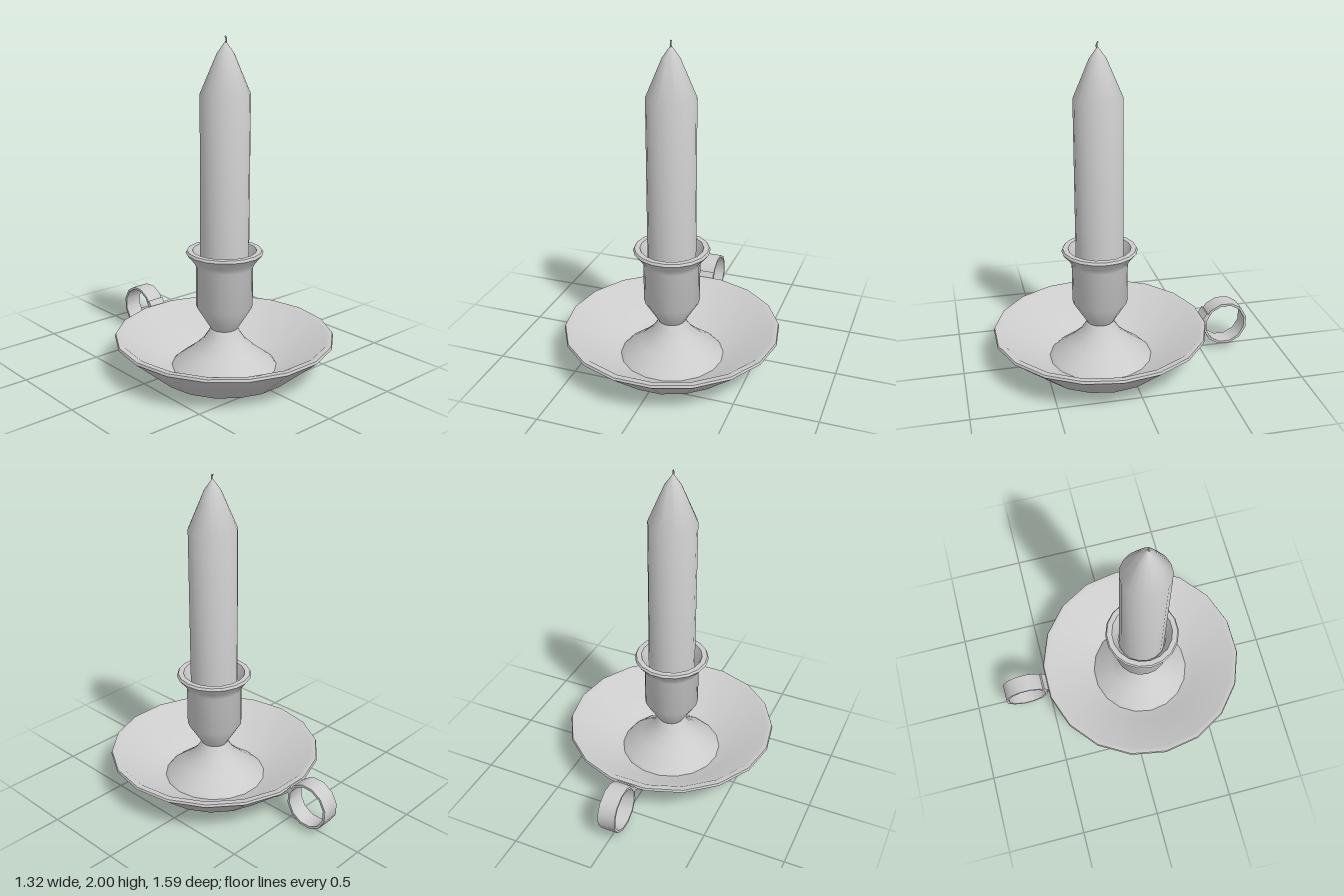
import * as THREE from 'three';
import { toCreasedNormals } from 'three/addons/utils/BufferGeometryUtils.js';

const SIDES = 18;
const AXIS_Z = 0.146; // the candle and dish sit forward of the handle

export function createModel() {
  const group = new THREE.Group();
  const material = new THREE.MeshStandardMaterial({ color: 0xcccccc });

  const add = (name, geometry) => {
    const mesh = new THREE.Mesh(geometry, material);
    mesh.name = name;
    group.add(mesh);
    return mesh;
  };

  // Turned part from [radius, height] pairs, with a corner on the x axis
  const turned = (name, profile, crease = 0.75) => {
    const points = profile.map(([r, y]) => new THREE.Vector2(r, y));
    const lathe = new THREE.LatheGeometry(points, SIDES, Math.PI / 2);
    add(name, toCreasedNormals(lathe, crease)).position.z = AXIS_Z;
  };

  // Wide dish with a narrow flat rim
  turned('dish', [
    [0, 0], [0.41, 0], [0.66, 0.215], [0.655, 0.23],
    [0.622, 0.23], [0.38, 0.03], [0, 0.03],
  ]);

  // Flared foot that carries the socket
  turned('pedestal', [
    [0.32, 0.028], [0.3, 0.05], [0.2, 0.125], [0.13, 0.19], [0.1, 0.235], [0.08, 0.27],
  ]);

  // Hollow cup with a flared lip
  turned('socket', [
    [0, 0.265], [0.08, 0.265], [0.17, 0.41], [0.17, 0.655], [0.187, 0.69],
    [0.23, 0.742], [0.222, 0.757], [0.19, 0.757], [0.162, 0.69], [0.15, 0.65],
    [0.15, 0.42], [0, 0.42],
  ]);

  // Candle with a pointed top
  turned('candle', [
    [0, 0.42], [0.145, 0.42], [0.145, 1.68], [0.05, 1.905], [0, 1.975],
  ]);

  // Small bent wick
  const wickPath = new THREE.CatmullRomCurve3([
    new THREE.Vector3(0, 1.955, 0.146),
    new THREE.Vector3(0, 1.975, 0.152),
    new THREE.Vector3(0, 1.988, 0.15),
    new THREE.Vector3(0, 2, 0.143),
  ]);
  add('wick', new THREE.TubeGeometry(wickPath, 6, 0.005, 6));

  // Handle: flat band bent into a ring; shape x runs backwards from the centre
  const band = { depth: 0.11, bevelEnabled: false };
  const place = (mesh) => {
    mesh.rotation.y = Math.PI / 2;
    mesh.position.x = -band.depth / 2;
  };
  const circle = (r) => Array.from({ length: 12 }, (_, i) => {
    const a = (i / 12) * Math.PI * 2 + 0.24;
    return new THREE.Vector2(0.655 + r * Math.cos(a), 0.172 + r * Math.sin(a));
  });
  const ring = new THREE.Shape(circle(0.143));
  ring.holes.push(new THREE.Path(circle(0.128)));
  place(add('handleRing', toCreasedNormals(new THREE.ExtrudeGeometry(ring, band), 0.75)));

  // Tail of the band, fixed under the dish
  const tail = new THREE.Shape([
    new THREE.Vector2(0.415, 0.14), new THREE.Vector2(0.424, 0.129),
    new THREE.Vector2(0.515, 0.205), new THREE.Vector2(0.54, 0.25),
    new THREE.Vector2(0.53, 0.258), new THREE.Vector2(0.505, 0.215),
  ]);
  place(add('handleTail', toCreasedNormals(new THREE.ExtrudeGeometry(tail, band), 0.75)));

  return group;
}
